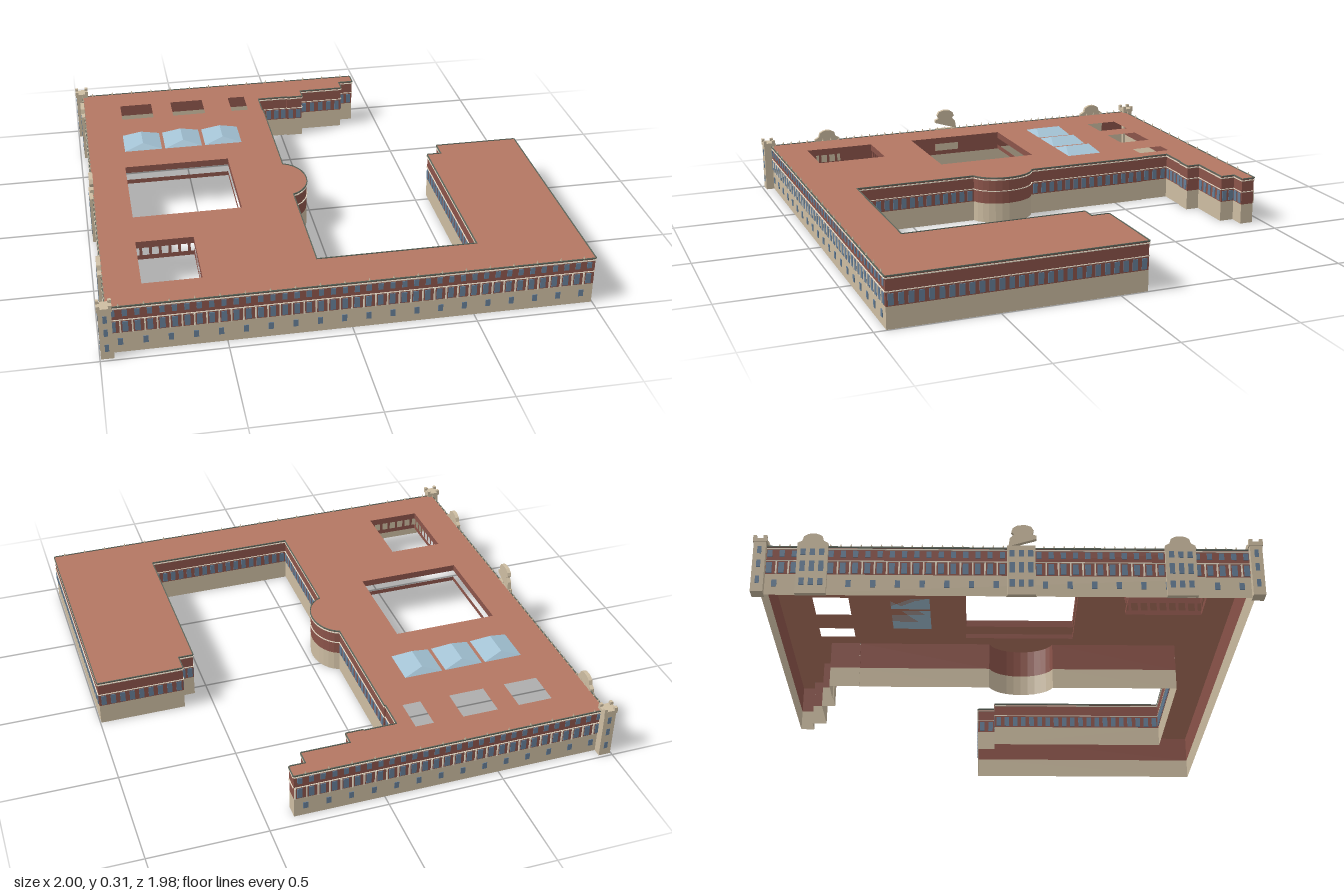
import * as THREE from 'three';
import { mergeGeometries } from 'three/addons/utils/BufferGeometryUtils.js';

const mat = (name, color, double) => new THREE.MeshStandardMaterial({ name, color, side: double ? THREE.DoubleSide : THREE.FrontSide });

export function createModel() {
  const model = new THREE.Group();
  model.name = 'courtyardBuilding';
  const M = {
    stone: mat('sandstone', 0xcdbda2, true),
    brick: mat('brick', 0x8c544a, true),
    roof: mat('roofTile', 0xb47763, true),
    glass: mat('windowGlass', 0x667f98),
    sky: mat('skylightGlass', 0xa3c2d4),
    cream: mat('creamTrim', 0xe6dac6),
    trim: mat('greyTrim', 0x5f675c),
  };

  // Geometry is gathered per part and merged into one mesh each
  const parts = {};
  const put = (name, material, geo) => {
    (parts[name] ??= { material, list: [] }).list.push(geo.index ? geo.toNonIndexed() : geo);
  };
  const box = (name, material, w, h, d, x, y, z) =>
    put(name, material, new THREE.BoxGeometry(w, h, d).translate(x, y, z));

  // A wall segment: u runs along it, "out" points away from the building
  const segment = ([ax, az], [bx, bz]) => {
    const len = Math.hypot(bx - ax, bz - az);
    const m = new THREE.Matrix4().makeRotationY(Math.atan2(az - bz, bx - ax)).setPosition(ax, 0, az);
    const place = (name, material, geo, u, y, out) =>
      put(name, material, geo.translate(u, y, out).applyMatrix4(m));
    return {
      len, place,
      band: (name, material, y0, y1) =>
        place(name, material, new THREE.PlaneGeometry(len, y1 - y0), len / 2, (y0 + y1) / 2, 0),
      rail: (name, material, y0, y1, d) =>
        place(name, material, new THREE.BoxGeometry(len, y1 - y0, d), len / 2, (y0 + y1) / 2, d / 2 + 0.0003),
      plate: (name, material, u, y, w, h, out = 0.002, d = 0.003) =>
        place(name, material, new THREE.BoxGeometry(w, h, d), u, y, out),
      // Evenly spaced items along the segment
      row: (step, fn) => {
        const n = Math.max(1, Math.round(len / step));
        for (let i = 0; i < n; i++) fn((i + 0.5) * len / n, len / n);
      },
    };
  };
  const loop = (pts, fn) => pts.forEach((p, i) => fn(segment(p, pts[(i + 1) % pts.length]), i));

  // Outline in x, z, with a rounded bay on the inner court
  const bay = [];
  for (let i = 0; i <= 12; i++) {
    const a = Math.PI * (0.5 - i / 12) * 0.84;
    const s = Math.sin(0.42 * Math.PI), c = Math.cos(0.42 * Math.PI);
    bay.push([-0.11 + 0.082 * (Math.cos(a) - c) / (1 - c), 0.07 + 0.14 * Math.sin(a) / s]);
  }
  const outline = [
    [-0.965, 0.95], [0.996, 0.95], [0.996, -0.12], [0.625, -0.12], [0.625, -0.04], [0.56, -0.04],
    [0.56, 0.755], [-0.11, 0.755], ...bay, [-0.11, -0.64], [-0.115, -0.64], [-0.115, -0.77],
    [0.03, -0.77], [0.03, -0.765], [0.105, -0.765], [0.105, -0.825], [0.315, -0.825],
    [0.315, -0.89], [0.385, -0.89], [0.385, -0.95], [-0.965, -0.95],
  ];
  const rect = (x0, x1, z0, z1) => [[x0, z0], [x1, z0], [x1, z1], [x0, z1]];
  const lightWells = [rect(-0.79, -0.64, -0.81, -0.66), rect(-0.545, -0.39, -0.81, -0.66), rect(-0.26, -0.18, -0.81, -0.66)];
  const mainCourt = rect(-0.81, -0.345, -0.17, 0.285);
  const smallCourt = rect(-0.815, -0.575, 0.49, 0.805);

  // Roof sheet with plain light wells and open courts
  const vec = pts => pts.map(([x, z]) => new THREE.Vector2(x, -z));
  const roofShape = new THREE.Shape(vec(outline));
  roofShape.holes = [...lightWells, mainCourt, smallCourt].map(h => new THREE.Path(vec(h)));
  put('roof', M.roof, new THREE.ShapeGeometry(roofShape).rotateX(-Math.PI / 2).translate(0, 0.21, 0));

  // Outer walls: stone base, brick storeys, string courses and windows
  loop(outline, (s, i) => {
    const ornate = i === 0 || i >= outline.length - 2;
    s.band('stoneBase', M.stone, 0, 0.09);
    s.band('brickWall', M.brick, 0.09, 0.21);
    s.rail('parapet', M.trim, 0.207, 0.213, 0.004);
    s.rail('stringCourse', M.cream, 0.147, 0.15, 0.004);
    s.rail('cornice', M.cream, 0.199, 0.203, 0.004);
    if (s.len > 0.06) s.row(ornate ? 0.048 : 0.04, (u, w) => {
      s.plate('window', M.glass, u, 0.118, 0.022, 0.046);
      if (!ornate) return;
      s.plate('window', M.glass, u, 0.18, 0.02, 0.028);
      s.plate('pilaster', M.cream, u - w / 2 + 0.004, 0.118, 0.006, 0.054, 0.003, 0.005);
    });
    if (!ornate) return;
    s.row(0.096, u => s.plate('window', M.glass, u, 0.05, 0.02, 0.03));
    // Roof edge finials, closer together on the west side
    s.row(i === outline.length - 1 ? 0.04 : 0.096, u =>
      s.place('finial', M.stone, new THREE.ConeGeometry(0.005, 0.014, 4), u, 0.219, 0));
  });

  // Open courts: brick bands with gaps between, piers in the small one
  [mainCourt, smallCourt].forEach((court, k) => loop(court, s => {
    s.band('courtBand', M.brick, 0.18, 0.21);
    s.band('courtBand', M.brick, 0.125, 0.145);
    if (k) s.row(0.04, u =>
      s.place('courtPier', M.brick, new THREE.PlaneGeometry(0.012, 0.04), u, 0.163, 0));
  }));

  // Skylights: hipped glass with the ridge along z
  [-0.715, -0.53, -0.345].forEach(x => {
    const g = new THREE.BoxGeometry(0.17, 0.026, 0.165);
    const p = g.attributes.position;
    for (let i = 0; i < p.count; i++) if (p.getY(i) > 0) p.setXYZ(i, 0, p.getY(i), p.getZ(i) * 0.72);
    const flat = g.toNonIndexed();
    flat.computeVertexNormals();
    put('skylight', M.sky, flat.translate(x, 0.223, -0.405));
  });

  // Corner towers with merlons, windows on the two outer faces
  [-1, 1].forEach(side => {
    const x = -0.97, z = side * 0.963;
    box('cornerTower', M.stone, 0.052, 0.218, 0.048, x, 0.109, z);
    box('cornerTower', M.stone, 0.06, 0.014, 0.055, x, 0.223, z);
    [-1, 1].forEach(a => [-1, 1].forEach(b =>
      box('towerMerlon', M.stone, 0.014, 0.013, 0.014, x + a * 0.023, 0.236, z + b * 0.02)));
    [0.05, 0.12, 0.18].forEach(y => {
      box('window', M.glass, 0.016, 0.032, 0.004, x, y, z + side * 0.0235);
      box('window', M.glass, 0.004, 0.032, 0.016, x - 0.0255, y, z);
    });
  });

  // West pavilions: full-height stone fronts with curved gables
  const west = segment([-0.965, -0.95], [-0.965, 0.95]);
  const extrude = (pts, d) =>
    new THREE.ExtrudeGeometry(new THREE.Shape(pts.map(p => new THREE.Vector2(...p))), { depth: d, bevelEnabled: false });
  const half = [[0.06, 0], [0.06, 0.22], [0.042, 0.23], [0.036, 0.25], [0.022, 0.258], [0.01, 0.262]];
  const sideGable = [...half, ...half.map(([x, y]) => [-x, y]).reverse()];
  const portal = [[-0.055, 0], [0.055, 0], [0.055, 0.215], [-0.055, 0.215]];
  [[-0.76, sideGable], [0.05, portal], [0.67, sideGable]].forEach(([z, front]) => {
    west.place('pavilion', M.stone, extrude(front, 0.017), z + 0.95, 0, 0);
    west.plate('pavilionLining', M.stone, z + 0.95, 0.104, 0.12, 0.208, -0.002);
    [-0.036, 0, 0.036].forEach(o => [[0.05, 0.03], [0.118, 0.046], [0.18, 0.028]].forEach(([y, h]) =>
      west.plate('window', M.glass, z + 0.95 + o, y, 0.02, h, 0.017)));
  });
  // Tilted scroll gable above the portal
  const crest = [[-0.055, 0.214], [0.055, 0.248], [0.055, 0.262], [0.037, 0.268], [0.044, 0.285], [0.034, 0.303],
    [0.01, 0.31], [-0.02, 0.308], [-0.038, 0.296], [-0.044, 0.28], [-0.034, 0.268], [-0.05, 0.25]];
  west.place('centralGable', M.stone, extrude(crest, 0.017), 1.005, 0, -0.004);

  for (const [name, { material, list }] of Object.entries(parts)) {
    const mesh = new THREE.Mesh(mergeGeometries(list), material);
    mesh.name = name;
    model.add(mesh);
  }
  return model;
}
